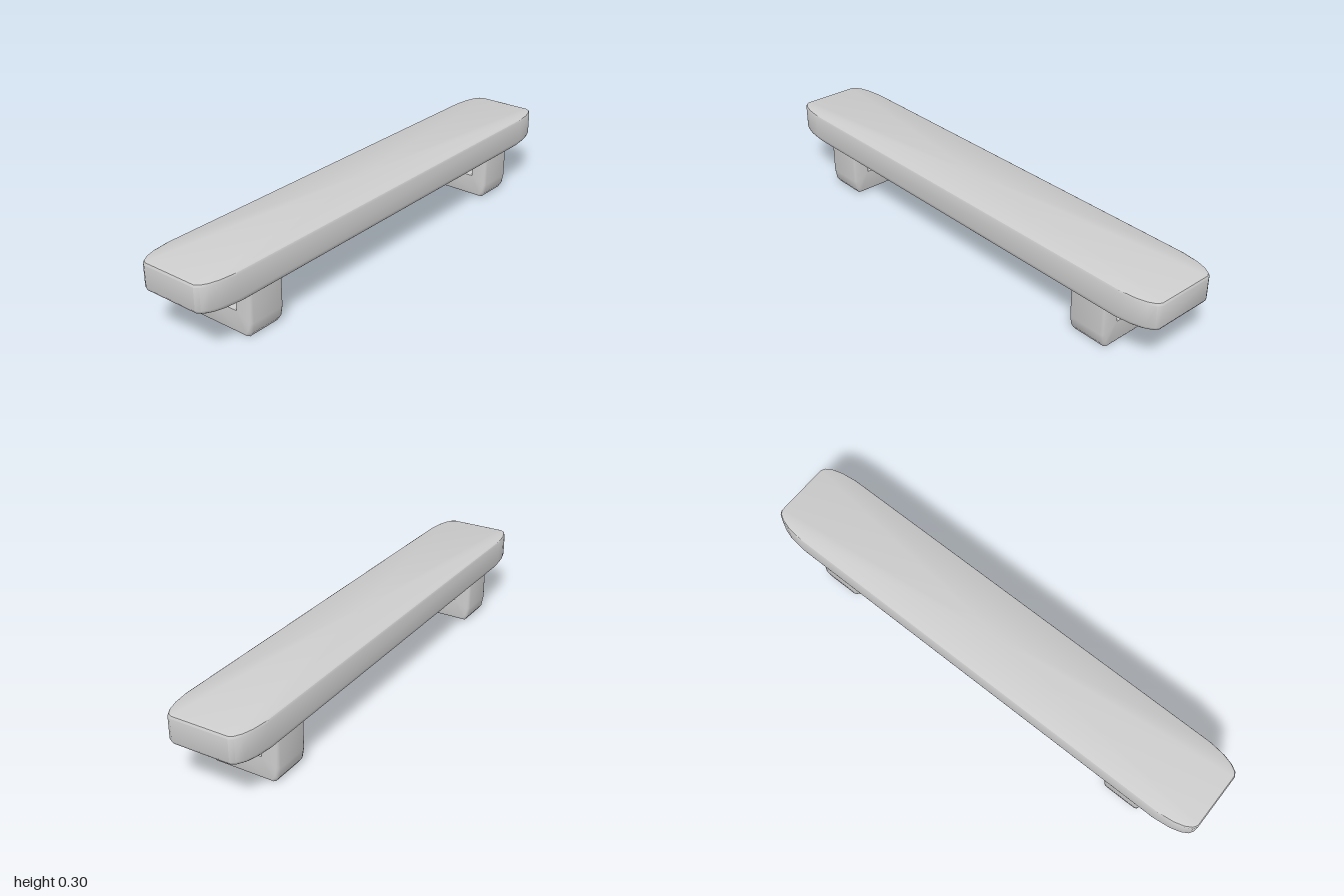
import * as THREE from 'three';
import { toCreasedNormals } from 'three/addons/utils/BufferGeometryUtils.js';

const stone = new THREE.MeshStandardMaterial({ color: 0xcccccc });
stone.name = 'pale grey';

// Skin a stack of closed convex rings and cap both ends
function loft(rings, crease) {
  const pos = [];
  const tri = (a, b, c) => {
    const area = b.clone().sub(a).cross(c.clone().sub(a)).length();
    if (area > 1e-9) for (const p of [a, b, c]) pos.push(p.x, p.y, p.z);
  };
  const n = rings[0].length;
  const centre = (ring) => ring.reduce((s, p) => s.add(p), new THREE.Vector3()).divideScalar(n);
  const first = rings[0], last = rings[rings.length - 1];
  const c0 = centre(first), c1 = centre(last);
  for (let j = 0; j < n; j++) {
    const k = (j + 1) % n;
    for (let i = 0; i < rings.length - 1; i++) {
      const lo = rings[i], hi = rings[i + 1];
      tri(lo[j], lo[k], hi[k]);
      tri(lo[j], hi[k], hi[j]);
    }
    tri(c0, first[k], first[j]);
    tri(c1, last[j], last[k]);
  }
  const geo = new THREE.BufferGeometry();
  geo.setAttribute('position', new THREE.Float32BufferAttribute(pos, 3));
  return toCreasedNormals(geo, crease);
}

// Long seat slab: rounded plan with softened top and bottom edges
function createSeat() {
  const corner = [[1, 0.115], [0.99, 0.132], [0.965, 0.147], [0.925, 0.159], [0.86, 0.167]];
  const back = [...corner].reverse();
  const plan = [
    ...corner.map(([x, z]) => [x, -z]),
    ...back.map(([x, z]) => [-x, -z]),
    ...corner.map(([x, z]) => [-x, z]),
    ...back,
  ];
  // height, inset along x, inset along z
  const levels = [
    [0.182, 0.04, 0.009], [0.186, 0.018, 0.005], [0.192, 0.006, 0.002], [0.202, 0, 0],
    [0.288, 0, 0], [0.296, 0.004, 0.003], [0.3, 0.015, 0.009],
  ];
  const rings = levels.map(([y, dx, dz]) =>
    plan.map(([x, z]) => new THREE.Vector3(x * (1 - dx), y, z * (1 - dz / 0.167))));
  const seat = new THREE.Mesh(loft(rings, 0.6), stone);
  seat.name = 'seat';
  return seat;
}

// U-shaped support: a bar with rounded outer edges swept down, across and up
function createSupport(name, x) {
  const half = 0.08;
  // outer z, y then inner z, y
  const side = [
    [0.145, 0.19, 0.078, 0.19],
    [0.145, 0.06, 0.078, 0.09],
    [0.138, 0.02, 0.078, 0.09],
    [0.123, 0, 0.078, 0.09],
  ];
  const stations = [...side, ...[...side].reverse().map(([oz, oy, iz, iy]) => [-oz, oy, -iz, iy])];
  // x, and depth from the inner face (0) to the outer face (1)
  const section = [[half, 0], [half, 0.86], [half - 0.004, 0.95], [half - 0.014, 1]];
  const loop = [...section, ...[...section].reverse().map(([sx, t]) => [-sx, t])];
  const rings = stations.map(([oz, oy, iz, iy]) =>
    loop.map(([sx, t]) => new THREE.Vector3(sx, iy + (oy - iy) * t, iz + (oz - iz) * t)));
  const support = new THREE.Mesh(loft(rings, 0.8), stone);
  support.name = name;
  support.position.x = x;
  return support;
}

export function createModel() {
  const bench = new THREE.Group();
  bench.name = 'bench';
  bench.add(createSeat(), createSupport('leftSupport', 0.709), createSupport('rightSupport', -0.709));
  return bench;
}
